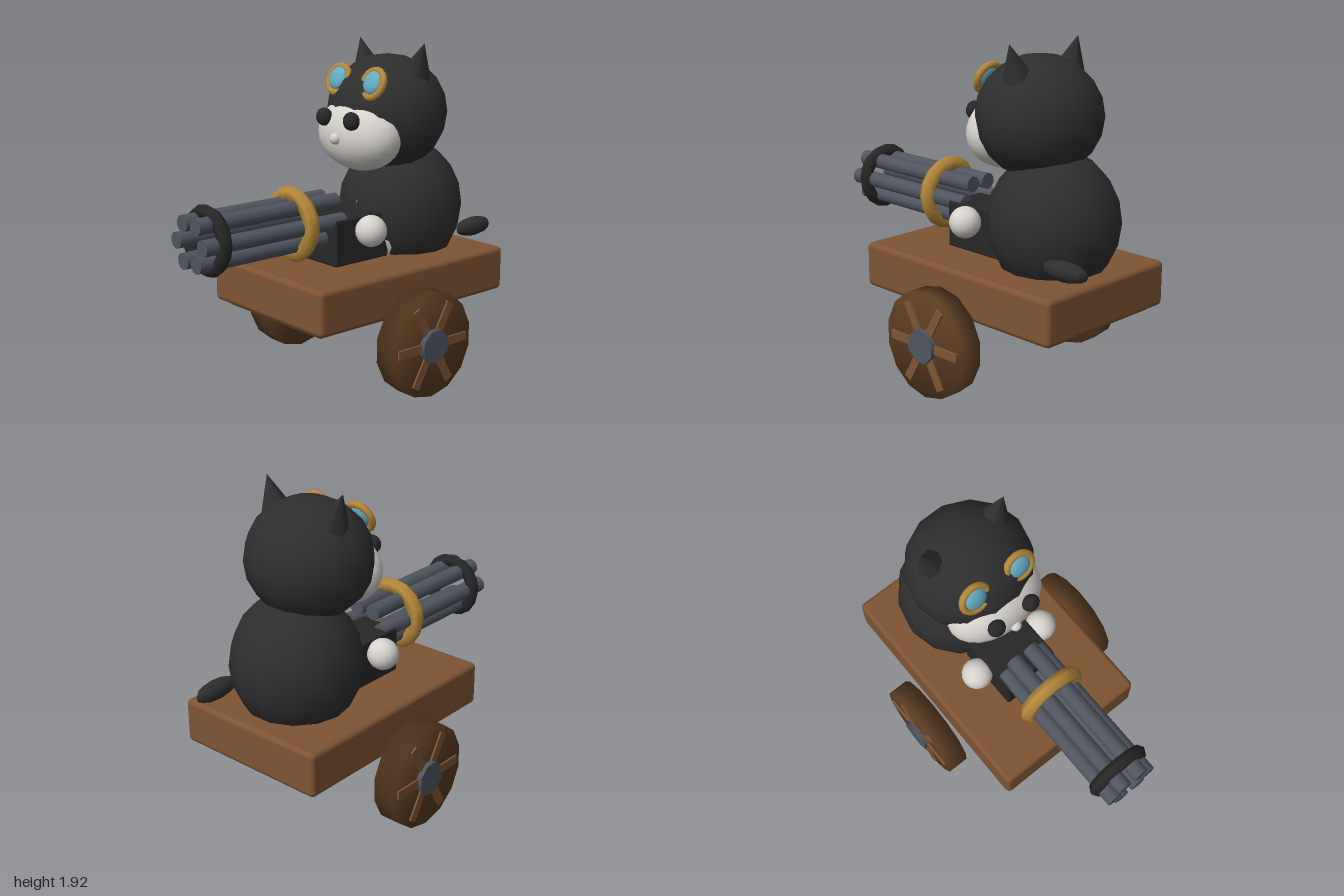
import * as THREE from 'three';
import { mergeVertices } from 'three/addons/utils/BufferGeometryUtils.js';
import { RoundedBoxGeometry } from 'three/addons/geometries/RoundedBoxGeometry.js';

const paint = (name, color) => {
  const m = new THREE.MeshStandardMaterial({ color });
  m.name = name;
  return m;
};

export function createModel() {
  const black = paint('black fur', 0x2e2e2e);
  const iron = paint('dark iron', 0x272727);
  const white = paint('white fur', 0xd6d3cd);
  const wood = paint('wood', 0x7f5433);
  const darkWood = paint('dark wood', 0x5c3c21);
  const steel = paint('steel', 0x50555f);
  const gold = paint('gold', 0xb5883a);
  const glass = paint('blue glass', 0x64acc2);

  const model = new THREE.Group();
  model.name = 'animalOnGunCart';

  const add = (parent, name, geometry, material, x = 0, y = 0, z = 0) => {
    const mesh = new THREE.Mesh(geometry, material);
    mesh.name = name;
    mesh.position.set(x, y, z);
    parent.add(mesh);
    return mesh;
  };
  const ball = (parent, name, material, [x, y, z], [rx, ry, rz], w = 16, h = 12) => {
    const mesh = add(parent, name, new THREE.SphereGeometry(1, w, h), material, x, y, z);
    mesh.scale.set(rx, ry, rz);
    return mesh;
  };

  // Cart
  const cart = new THREE.Group();
  cart.name = 'cart';
  model.add(cart);
  add(cart, 'cartBed', new RoundedBoxGeometry(0.95, 0.26, 1.42, 2, 0.03), wood, 0, 0.57, -0.2);
  add(cart, 'underPlate', new THREE.BoxGeometry(0.8, 0.04, 1.3), darkWood, 0, 0.435, -0.2);

  // Wheels: shared normals give the disc its soft, rounded look
  const disc = new THREE.CylinderGeometry(0.303, 0.303, 0.13, 14);
  disc.rotateY(Math.PI / 14);
  disc.deleteAttribute('normal');
  disc.deleteAttribute('uv');
  const softDisc = mergeVertices(disc);
  softDisc.computeVertexNormals();
  softDisc.rotateZ(-Math.PI / 2);
  const hubGeometry = new THREE.CylinderGeometry(0.098, 0.098, 0.04, 8);
  hubGeometry.rotateY(Math.PI / 8);
  hubGeometry.rotateZ(-Math.PI / 2);
  for (const side of [1, -1]) {
    const wheel = new THREE.Group();
    wheel.name = side > 0 ? 'leftWheel' : 'rightWheel';
    wheel.position.set(side * 0.57, 0.3, -0.16);
    wheel.rotation.y = side > 0 ? 0 : Math.PI;
    add(wheel, 'disc', softDisc, darkWood);
    for (let i = 0; i < 3; i++) {
      add(wheel, 'spoke', new THREE.BoxGeometry(0.02, 0.05, 0.52), wood, 0.066)
        .rotation.x = i * Math.PI / 3;
    }
    add(wheel, 'hub', hubGeometry, steel, 0.078);
    cart.add(wheel);
  }

  // Animal body
  const animal = new THREE.Group();
  animal.name = 'animal';
  model.add(animal);
  ball(animal, 'body', black, [0, 0.94, -0.515], [0.37, 0.4, 0.365], 14, 10);
  ball(animal, 'belly', white, [0, 0.92, -0.4], [0.3, 0.34, 0.24], 16, 12);
  ball(animal, 'tail', black, [0.285, 0.8, -0.848], [0.055, 0.055, 0.15], 8, 8)
    .rotation.y = 0.06;

  // Head and face
  ball(animal, 'head', black, [0, 1.505, -0.4], [0.36, 0.337, 0.345], 14, 10);
  ball(animal, 'face', white, [0, 1.4, -0.19], [0.295, 0.212, 0.19], 24, 16);
  ball(animal, 'nose', white, [0, 1.39, -0.005], [0.034, 0.034, 0.034], 12, 8);

  for (const side of [1, -1]) {
    const label = side > 0 ? 'left' : 'right';
    ball(animal, label + 'Eye', iron, [side * 0.115, 1.5, -0.02], [0.052, 0.052, 0.045], 12, 10);
    ball(animal, label + 'Paw', white, [side * 0.235, 0.89, -0.065], [0.09, 0.09, 0.09], 16, 12);

    // Ear cone leans outward
    const ear = add(animal, label + 'Ear', new THREE.ConeGeometry(0.11, 0.24, 7), black,
      side * 0.226, 1.803, -0.43);
    ear.rotation.z = -side * 0.35;

    // Goggle leans back against the forehead
    const goggle = new THREE.Group();
    goggle.name = label + 'Goggle';
    goggle.position.set(side * 0.145, 1.7, -0.155);
    goggle.rotation.x = -0.38;
    add(goggle, 'rim', new THREE.TorusGeometry(0.08, 0.02, 8, 16), gold);
    ball(goggle, 'lens', glass, [0, 0.005, 0.005], [0.07, 0.07, 0.03], 12, 8);
    animal.add(goggle);
  }

  // Rotary gun
  const gun = new THREE.Group();
  gun.name = 'gun';
  model.add(gun);
  add(gun, 'gunBase', new RoundedBoxGeometry(0.345, 0.27, 0.4, 2, 0.015), iron, 0, 0.83, -0.06);
  const barrel = new THREE.CylinderGeometry(0.047, 0.047, 0.95, 10);
  barrel.rotateX(Math.PI / 2);
  for (let i = 0; i < 6; i++) {
    const a = i * Math.PI / 3;
    add(gun, 'barrel', barrel, steel, Math.cos(a) * 0.118, 0.95 + Math.sin(a) * 0.118, 0.525);
  }
  add(gun, 'rearBand', new THREE.TorusGeometry(0.17, 0.046, 6, 16), gold, 0, 0.95, 0.315);
  add(gun, 'frontBand', new THREE.TorusGeometry(0.157, 0.04, 6, 16), iron, 0, 0.95, 0.885);

  return model;
}
